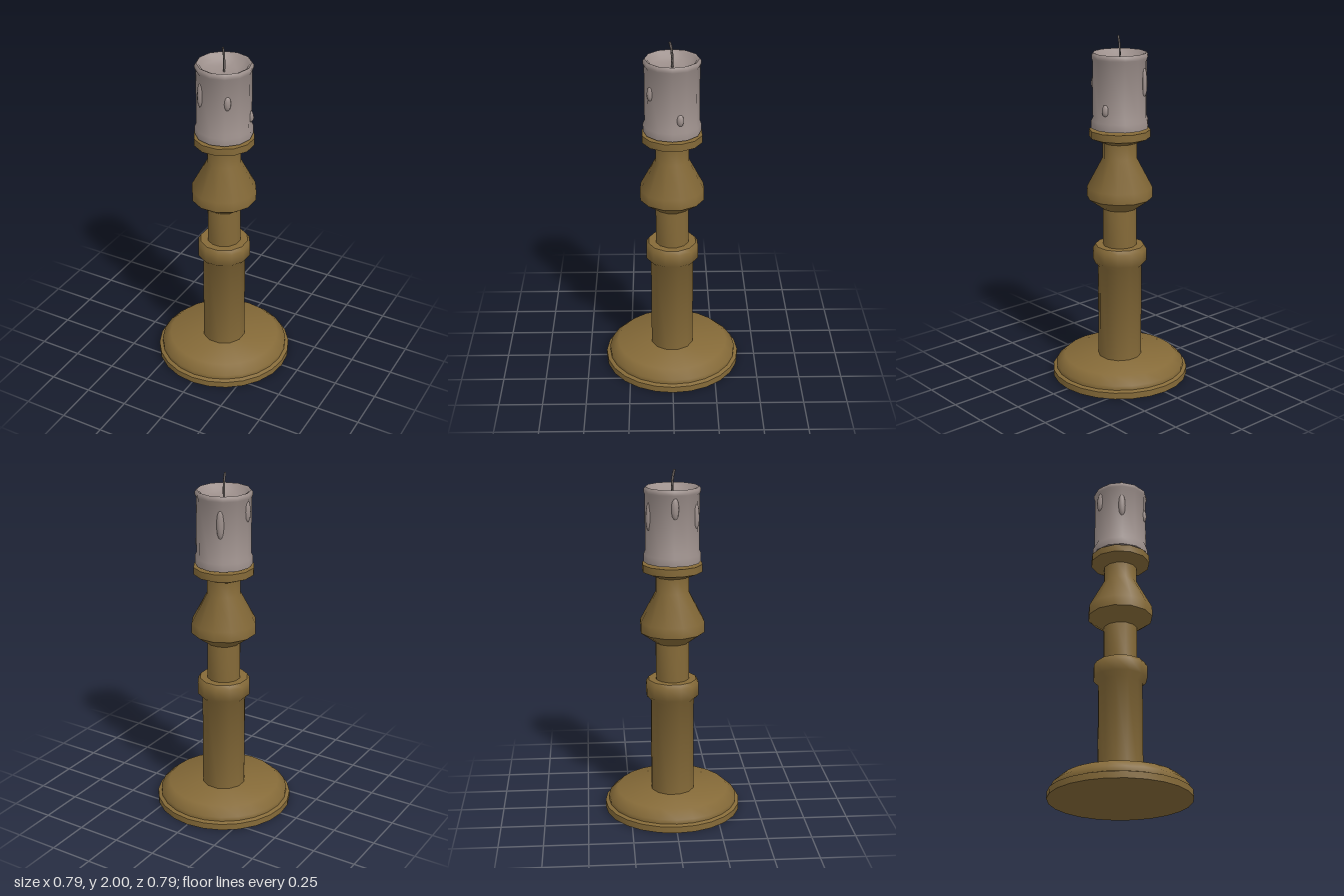
import * as THREE from 'three';
import { toCreasedNormals } from 'three/addons/utils/BufferGeometryUtils.js';

const brass = new THREE.MeshStandardMaterial({ color: 0x856a38 });
brass.name = 'aged brass';
const wax = new THREE.MeshStandardMaterial({ color: 0x9c8f8b });
wax.name = 'grey wax';
const wickMaterial = new THREE.MeshStandardMaterial({ color: 0x6e6663, side: THREE.DoubleSide });
wickMaterial.name = 'burnt wick';

// Turned part from [radius, height] pairs, listed bottom to top
function turned(name, profile, sides, start, material) {
  const points = profile.map(([r, y]) => new THREE.Vector2(r, y));
  const geometry = new THREE.LatheGeometry(points, sides, start);
  const mesh = new THREE.Mesh(toCreasedNormals(geometry, 0.9), material);
  mesh.name = name;
  return mesh;
}

// Flattened wax run, slimmer in the middle and rounded at its lower end
function waxDrip(x, z, top, bottom, width) {
  const geometry = new THREE.SphereGeometry(1, 8, 8);
  const p = geometry.attributes.position;
  const height = (top - bottom) / 2;
  for (let i = 0; i < p.count; i++) {
    const y = p.getY(i);
    const swell = 0.85 + 0.25 * y * y;
    p.setXYZ(i, p.getX(i) * width / 2 * swell, y * height, p.getZ(i) * 0.017 * (1 - 0.2 * y));
  }
  geometry.computeVertexNormals();
  const mesh = new THREE.Mesh(geometry, wax);
  const angle = Math.atan2(x, z);
  mesh.position.set(Math.sin(angle) * 0.148, (top + bottom) / 2, Math.cos(angle) * 0.148);
  mesh.rotation.y = angle;
  mesh.name = 'waxDrip';
  return mesh;
}

export function createModel() {
  const model = new THREE.Group();
  model.name = 'candlestick';

  // Round stepped foot
  model.add(turned('foot', [
    [0, 0], [0.397, 0], [0.397, 0.037], [0.376, 0.045],
    [0.376, 0.07], [0.326, 0.115], [0, 0.115],
  ], 24, 0, brass));

  // Twelve-sided stem: shaft, collar, neck, bulb and drip pan
  model.add(turned('stem', [
    [0.127, 0.11], [0.127, 0.672], [0.155, 0.7], [0.155, 0.772], [0.14, 0.795],
    [0.097, 0.795], [0.097, 1.015], [0.187, 1.08], [0.187, 1.14], [0.097, 1.31],
    [0.097, 1.4], [0.173, 1.432], [0.173, 1.474], [0, 1.474],
  ], 12, Math.PI / 12, brass));

  // Candle with a spread bottom, soft rim and hollow top
  model.add(turned('candle', [
    [0, 1.486], [0.162, 1.486], [0.162, 1.53], [0.153, 1.55], [0.153, 1.865],
    [0.159, 1.878], [0.159, 1.896], [0.15, 1.907], [0.135, 1.9],
    [0.118, 1.87], [0.07, 1.858], [0, 1.855],
  ], 12, 0, wax));

  // Wax runs: x, z, top, bottom, width
  const drips = [
    [-0.08, 0.135, 1.825, 1.68, 0.046],
    [0.085, 0.12, 1.775, 1.695, 0.044],
    [-0.155, 0.005, 1.865, 1.745, 0.048],
    [-0.065, -0.14, 1.83, 1.67, 0.048],
    [0.148, -0.045, 1.635, 1.57, 0.044],
  ];
  for (const d of drips) model.add(waxDrip(...d));

  // Wick bending slightly to the front
  const path = new THREE.CatmullRomCurve3([
    new THREE.Vector3(0, 1.85, 0), new THREE.Vector3(0, 1.93, 0),
    new THREE.Vector3(0, 1.97, 0.005), new THREE.Vector3(0, 2, 0.013),
  ]);
  const wick = new THREE.Mesh(new THREE.TubeGeometry(path, 6, 0.007, 4), wickMaterial);
  wick.name = 'wick';
  model.add(wick);

  return model;
}
